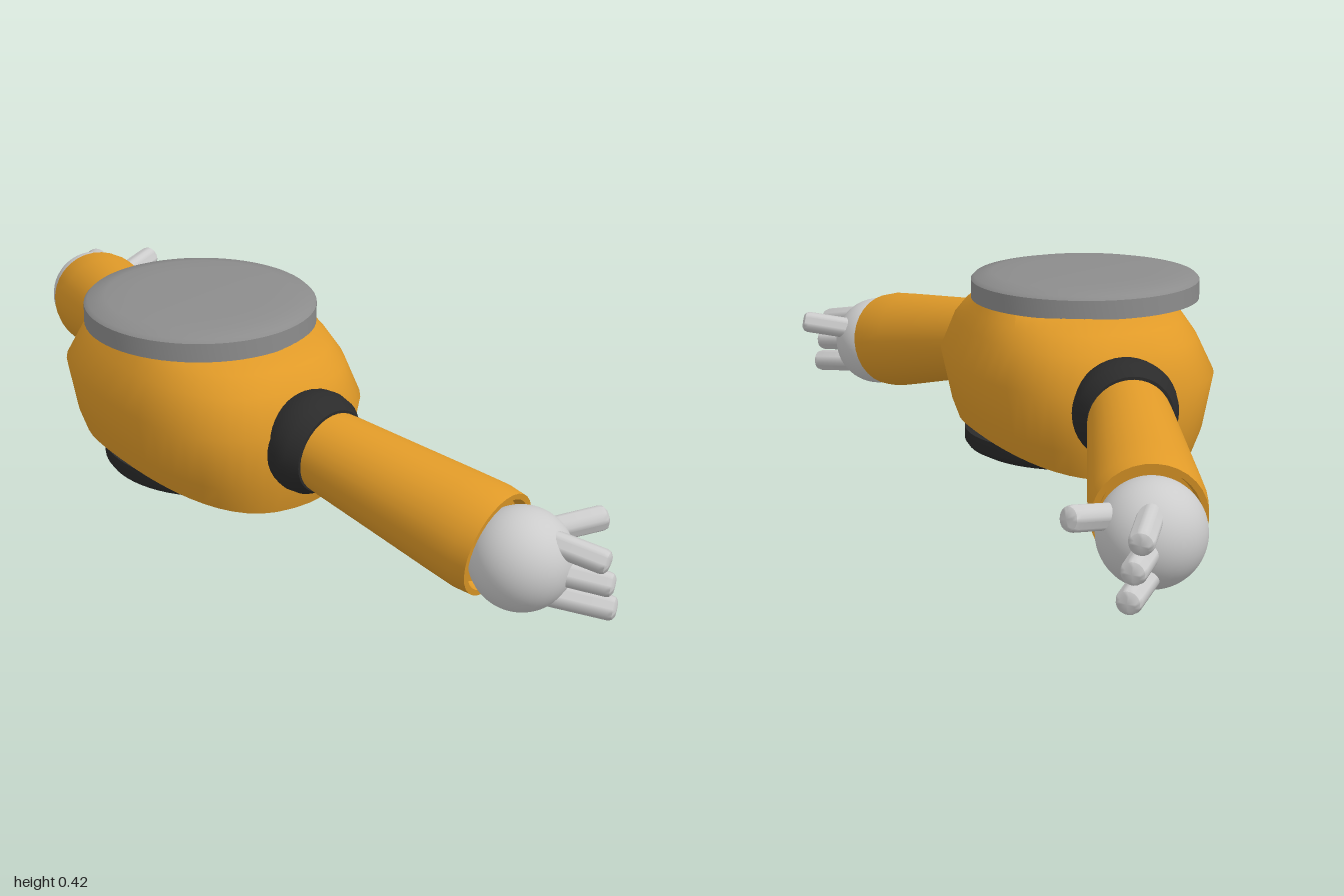
import * as THREE from 'three';
import { toCreasedNormals } from 'three/addons/utils/BufferGeometryUtils.js';

const mat = (color) => new THREE.MeshStandardMaterial({ color });
const orange = mat(0xe09a28), dark = mat(0x2b2b2b), lidGrey = mat(0x8c8c8c), handGrey = mat(0xbcbcbc);
const V = (x, y, z) => new THREE.Vector3(x, y, z);

function mesh(name, geometry, material) {
  const m = new THREE.Mesh(geometry, material);
  m.name = name;
  return m;
}

// Turned part: profile of [radius, height] from bottom to top, standing at a and pointing to b
function turned(name, profile, a, b, material, sides = 40) {
  const geo = new THREE.LatheGeometry(profile.map(([r, h]) => new THREE.Vector2(r, h)), sides);
  const m = mesh(name, toCreasedNormals(geo, 0.7), material);
  m.position.copy(a);
  m.quaternion.setFromUnitVectors(V(0, 1, 0), b.clone().sub(a).normalize());
  return m;
}

// Torso: rounded-rectangle rings, widest at the waist, with a lower rim that dips at the sides
function torsoGeometry() {
  // y, centre x, half width x, half width z, exponent, dip towards the shoulders
  const rings = [
    [0.085, -0.05, 0.001, 0.001, 2, 0],
    [0.085, -0.05, 0.19, 0.25, 2.2, 0.025],
    [0.09, -0.05, 0.225, 0.325, 2.4, 0.04],
    [0.13, -0.05, 0.238, 0.345, 2.5, 0.02],
    [0.235, -0.05, 0.26, 0.355, 2.6, 0],
    [0.31, -0.047, 0.232, 0.32, 2.5, 0],
    [0.345, -0.046, 0.215, 0.285, 2.3, 0],
    [0.372, -0.045, 0.2, 0.235, 2, 0],
    [0.372, -0.045, 0.001, 0.001, 2, 0],
  ];
  const n = 48, pos = [], idx = [];
  rings.forEach(([y, cx, ax, az, e, dip], j) => {
    for (let i = 0; i < n; i++) {
      const t = (i / n) * Math.PI * 2, c = Math.cos(t), s = Math.sin(t);
      const x = Math.sign(c) * Math.abs(c) ** (2 / e), z = Math.sign(s) * Math.abs(s) ** (2 / e);
      pos.push(cx + ax * x, y - dip * s * s, az * z);
      if (j < rings.length - 1) {
        const a = j * n + i, b = j * n + ((i + 1) % n);
        idx.push(a, a + n, b, b, a + n, b + n);
      }
    }
  });
  const geo = new THREE.BufferGeometry();
  geo.setAttribute('position', new THREE.Float32BufferAttribute(pos, 3));
  geo.setIndex(idx);
  return toCreasedNormals(geo, 0.7);
}

// Short round-ended digit between two points
function finger(name, a, b, r) {
  const len = a.distanceTo(b);
  const profile = [[0, 0], [r, 0], [r, len - r * 0.6], [r * 0.9, len - r * 0.25], [r * 0.6, len - r * 0.05], [0, len]];
  return turned(name, profile, a, b, handGrey, 20);
}

// One arm; s is the side along z
function arm(side, s) {
  const g = new THREE.Group();
  g.name = side + 'Arm';
  const P = (x, y, z) => V(x, y, z * s);

  // Barrel-shaped shoulder joint
  g.add(turned(side + 'ShoulderJoint',
    [[0, 0], [0.094, 0], [0.106, 0.025], [0.11, 0.05], [0.106, 0.075], [0.09, 0.1], [0, 0.104]],
    P(-0.03, 0.208, 0.3), P(-0.012, 0.198, 0.4), dark));

  // Sleeve, flaring towards the wrist, with a shallow recess around the hand
  const a = P(-0.022, 0.203, 0.365), b = P(0.115, 0.12, 0.785), L = a.distanceTo(b);
  g.add(turned(side + 'Sleeve',
    [[0, 0], [0.082, 0], [0.088, L * 0.12], [0.1, L * 0.5], [0.109, L * 0.78], [0.113, L * 0.92],
      [0.11, L], [0.098, L], [0.09, L * 0.95], [0, L * 0.95]],
    a, b, orange, 32));

  // Ball hand with three stacked fingers and a thumb
  const hand = mesh(side + 'Palm', new THREE.SphereGeometry(0.104, 40, 28), handGrey);
  hand.position.copy(P(0.133, 0.108, 0.835));
  g.add(hand);
  [[0.155, 0.162, 0.222, 0.138], [0.155, 0.1, 0.238, 0.087], [0.16, 0.047, 0.247, 0.034]]
    .forEach(([x0, y0, x1, y1], i) =>
      g.add(finger(side + 'Finger' + (i + 1), P(x0, y0, 0.885), P(x1, y1, 0.988), 0.025)));
  g.add(finger(side + 'Thumb', P(0.195, 0.143, 0.823), P(0.315, 0.164, 0.87), 0.025));
  return g;
}

export function createModel() {
  const model = new THREE.Group();
  model.name = 'torsoWithArms';
  model.add(mesh('torso', torsoGeometry(), orange));

  // Neck lid and waist disc
  model.add(turned('neckLid',
    [[0, 0], [0.245, 0], [0.245, 0.04], [0.238, 0.047], [0.2, 0.055], [0.14, 0.058], [0, 0.058]],
    V(-0.075, 0.368, 0), V(-0.075, 1, 0), lidGrey, 64));
  model.add(turned('waistDisc',
    [[0, 0], [0.17, 0], [0.205, 0.006], [0.225, 0.016], [0.232, 0.026], [0.232, 0.053], [0, 0.053]],
    V(-0.045, 0.034, 0), V(-0.045, 1, 0), dark, 64));

  model.add(arm('front', 1), arm('rear', -1));
  return model;
}
